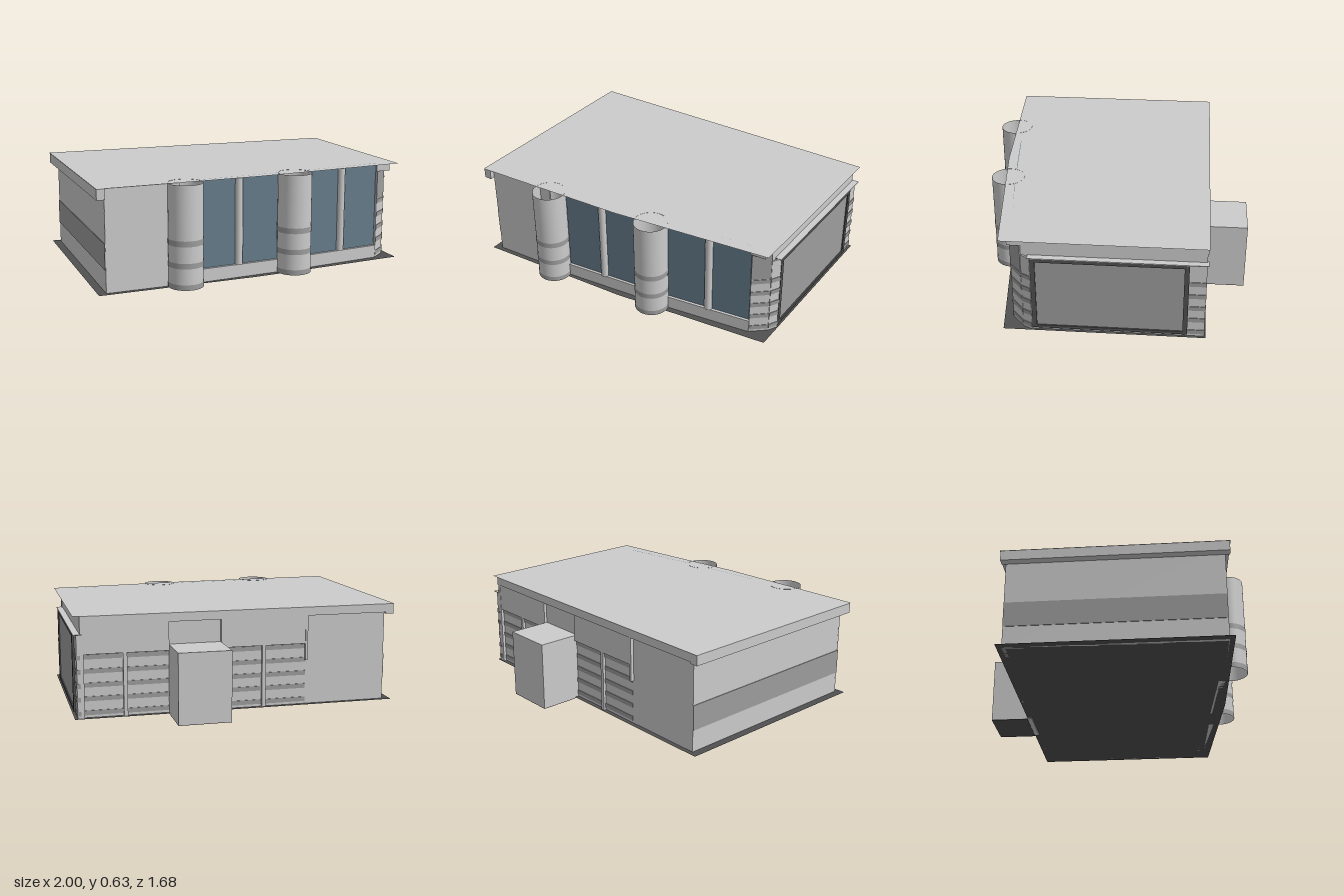
import * as THREE from 'three';

const mat = (name, color, side = THREE.FrontSide) => {
  const m = new THREE.MeshStandardMaterial({ color, side });
  m.name = name;
  return m;
};

export function createModel() {
  const root = new THREE.Group();
  root.name = 'pavilion';
  const light = mat('lightGrey', 0xcccccc, THREE.DoubleSide);
  const mid = mat('midGrey', 0x9d9d9d, THREE.DoubleSide);
  const dark = mat('darkGrey', 0x505050, THREE.DoubleSide);
  const glass = mat('blueGlass', 0x667c8b, THREE.DoubleSide);

  const add = (name, geo, m, x = 0, y = 0, z = 0) => {
    const mesh = new THREE.Mesh(geo, m);
    mesh.name = name;
    mesh.position.set(x, y, z);
    root.add(mesh);
    return mesh;
  };
  // Box given by its limits
  const box = (name, m, x0, x1, y0, y1, z0, z1) =>
    add(name, new THREE.BoxGeometry(x1 - x0, y1 - y0, z1 - z0), m, (x0 + x1) / 2, (y0 + y1) / 2, (z0 + z1) / 2);
  // Upright slab running between two plan points [x, z]
  const wall = (name, m, a, b, y0, y1, t = 0.01) => {
    const dx = b[0] - a[0], dz = b[1] - a[1];
    const w = add(name, new THREE.BoxGeometry(Math.hypot(dx, dz), y1 - y0, t), m,
      (a[0] + b[0]) / 2, (y0 + y1) / 2, (a[1] + b[1]) / 2);
    w.rotation.y = -Math.atan2(dz, dx);
    return w;
  };
  const FLOOR = 0.01, TOP = 0.625;
  const courses = [0.04, 0.125, 0.208, 0.292, 0.377];
  const stripedWall = (name, a, b, top, t = 0.01) => {
    wall(name, light, a, b, FLOOR, top, t);
    for (const y of courses) wall(name + 'Stripe', mid, a, b, y - 0.014, y + 0.014, t + 0.006);
  };

  // Roof sheet and floor sheet share one outline
  const outline = new THREE.Shape([[-1, -0.6], [1, -0.6], [1, 0.6], [0, 0.71], [-1, 0.755]]
    .map(([x, z]) => new THREE.Vector2(x, -z)));
  const sheet = () => new THREE.ShapeGeometry(outline).rotateX(-Math.PI / 2);
  add('roof', sheet(), light, 0, TOP, 0);
  add('floorSlab', sheet(), dark, 0, FLOOR, 0);

  // Fascias under the roof edge
  box('leftFascia', light, -1, -0.95, 0.56, TOP - 0.002, -0.595, 0.75);
  box('backFascia', light, -0.95, 0.96, 0.57, TOP - 0.002, -0.595, -0.57);
  box('rightFascia', light, 0.92, 0.96, 0.575, TOP - 0.002, -0.59, 0.56);
  wall('cornerFascia', light, [0.865, 0.56], [0.955, 0.555], 0.575, TOP - 0.002);

  // Plain side wall with one broad painted band
  box('sideWall', light, -0.95, -0.93, FLOOR, TOP - 0.002, -0.57, 0.72);
  box('sideBand', mid, -0.954, -0.949, 0.145, 0.3, -0.57, 0.72);
  wall('frontWall', light, [-0.95, 0.717], [-0.5, 0.697], FLOOR, TOP - 0.002);

  // Glazed bays with plinths and round mullions
  const bays = [
    { a: [-0.38, 0.685], b: [0.145, 0.635] },
    { a: [0.335, 0.617], b: [0.87, 0.543] },
  ];
  for (const { a, b } of bays) {
    wall('window', glass, a, b, 0.08, TOP, 0.006);
    wall('plinth', light, a, b, FLOOR, 0.09, 0.04);
    add('mullion', new THREE.CylinderGeometry(0.024, 0.024, 0.535, 20), light,
      (a[0] + b[0]) / 2, 0.357, (a[1] + b[1]) / 2 + 0.006);
  }

  // Open round columns with painted rings
  for (const [x, z] of [[-0.475, 0.735], [0.245, 0.67]]) {
    const tube = (name, m, r, y0, y1) =>
      add(name, new THREE.CylinderGeometry(r, r, y1 - y0, 40, 1, true), m, x, (y0 + y1) / 2, z);
    tube('column', light, 0.103, FLOOR, TOP + 0.001);
    for (const [y0, y1] of [[0.012, 0.043], [0.138, 0.17], [0.268, 0.302]]) {
      tube('columnRing', mid, 0.105, y0, y1);
    }
  }

  // Splayed front corner pier
  stripedWall('cornerPier', [0.87, 0.555], [0.96, 0.48], 0.575);
  wall('cornerPierHead', mid, [0.87, 0.555], [0.96, 0.48], 0.395, 0.572, 0.014);
  stripedWall('cornerReturn', [0.96, 0.48], [0.99, 0.425], 0.515);

  // Right wall with a framed screen and a thin ledge
  box('rightWall', light, 0.94, 0.96, FLOOR, 0.575, -0.59, 0.48);
  box('rightLowerWall', light, 0.96, 0.982, FLOOR, 0.513, -0.59, 0.43);
  for (const y of courses) {
    box('rightWallStripe', mid, 0.961, 0.986, y - 0.014, y + 0.014, -0.592, -0.49);
  }
  box('rightLedge', light, 0.95, 1, 0.512, 0.516, -0.6, 0.44);
  box('screen', mid, 0.98, 0.988, 0.04, 0.5, -0.47, 0.4);
  box('screenFrameTop', dark, 0.98, 0.996, 0.488, 0.512, -0.49, 0.425);
  box('screenFrameBottom', dark, 0.98, 0.996, 0.027, 0.046, -0.49, 0.425);
  box('screenFrameRear', dark, 0.98, 0.996, 0.027, 0.512, -0.49, -0.462);
  box('screenFrameFront', dark, 0.98, 0.996, 0.027, 0.512, 0.397, 0.425);

  // Back wall: striped bays with posts and shallow lintels
  box('backWall', light, -0.95, 0.96, FLOOR, TOP - 0.002, -0.57, -0.55);
  for (const [x0, x1] of [[-0.43, 0.11], [0.43, 0.96]]) {
    for (const y of courses) {
      box('backStripe', mid, x0, x1, y - 0.014, y + 0.014, -0.574, -0.568);
    }
    box('lintel', light, x0, x1, 0.395, 0.57, -0.588, -0.57);
    const c = (x0 + x1) / 2;
    box('backPost', light, c - 0.012, c + 0.012, FLOOR, 0.395, -0.588, -0.57);
  }
  box('lintelFin', light, -0.44, -0.425, 0.29, 0.57, -0.592, -0.57);

  // Rear porch block
  box('rearBlock', light, 0.11, 0.43, 0.003, 0.43, -0.84, -0.57);
  box('rearBlockBase', dark, 0.11, 0.43, 0, 0.003, -0.84, -0.6);

  return root;
}
